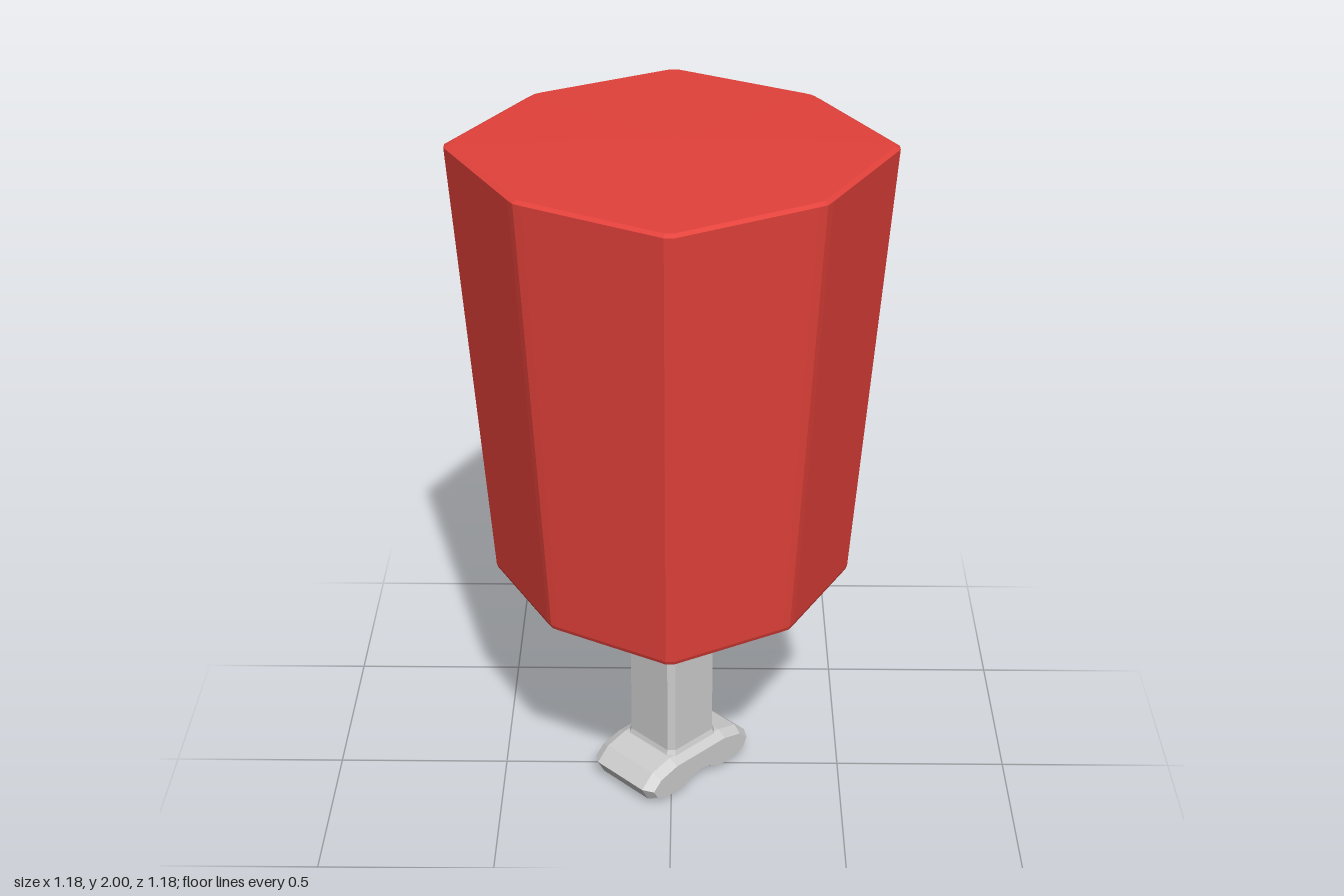
import * as THREE from 'three';

const red = new THREE.MeshStandardMaterial({ color: 0xe2413a, flatShading: true });
const grey = new THREE.MeshStandardMaterial({ color: 0xcccccc, flatShading: true });

// Repeats one quadrant of a unit cross-section around the y axis
function fourfold(quadrant) {
  const ring = [];
  for (let k = 0; k < 4; k++) {
    const c = Math.round(Math.cos(k * Math.PI / 2)), s = Math.round(Math.sin(k * Math.PI / 2));
    for (const [x, z] of quadrant) ring.push([x * c - z * s, x * s + z * c]);
  }
  return ring;
}

// Skins a cross-section through [y, radius, lift towards +x] levels, bottom to top, with closed ends
function loft(section, levels) {
  const pos = [], n = section.length;
  const at = ([y, r, lift = 0], i) => {
    const [x, z] = section[i % n];
    return [x * r, y + lift * Math.max(0, x), z * r];
  };
  const first = levels[0], last = levels[levels.length - 1];
  for (let i = 0; i < n; i++) {
    for (let j = 0; j < levels.length - 1; j++) {
      const a = at(levels[j], i), b = at(levels[j], i + 1);
      const c = at(levels[j + 1], i + 1), d = at(levels[j + 1], i);
      pos.push(...a, ...d, ...c, ...a, ...c, ...b);
    }
    pos.push(0, first[0], 0, ...at(first, i), ...at(first, i + 1));
    pos.push(0, last[0], 0, ...at(last, i + 1), ...at(last, i));
  }
  const g = new THREE.BufferGeometry();
  g.setAttribute('position', new THREE.Float32BufferAttribute(pos, 3));
  g.computeVertexNormals();
  return g;
}

function add(group, name, geometry, material) {
  const mesh = new THREE.Mesh(geometry, material);
  mesh.name = name;
  group.add(mesh);
  return mesh;
}

export function createModel() {
  const model = new THREE.Group();

  // Eight-sided body with narrow bevels along the corners
  const octagon = fourfold([[1, -0.022], [1, 0.022], [0.675, 0.615], [0.652, 0.652], [0.615, 0.675]]);
  add(model, 'body', loft(octagon, [
    [0.59, 0.125, 0.03], [0.693, 0.48], [0.7, 0.497], [0.712, 0.502],
    [1.965, 0.59], [1.979, 0.591], [1.986, 0.577], [2.0, 0.02],
  ]), red);

  // Square post with its corners on the axes
  const square = fourfold([[1, -0.1], [1, 0.1], [0.94, 0.16], [0.16, 0.94], [0.1, 1]].slice(0, 4));
  add(model, 'post', loft(square, [[0.1, 0.135], [0.135, 0.12], [0.64, 0.12]]), grey);

  // Collar that shows beneath the body on one side
  const collar = add(model, 'collar', loft(square, [[0.575, 0.119], [0.585, 0.122], [0.618, 0.14]]), grey);
  collar.position.x = 0.008;

  // Two-lobed foot, arched underneath, lying along one diagonal
  const half = [[0, 0.045], [0.035, 0.038], [0.08, 0.016], [0.14, 0.016], [0.18, 0.032], [0.195, 0.06], [0.165, 0.088], [0.1, 0.105]];
  const outline = [...half, ...half.slice(1).reverse().map(([x, y]) => [-x, y])];
  const shape = new THREE.Shape(outline.map(([x, y]) => new THREE.Vector2(x, y)));
  const footGeometry = new THREE.ExtrudeGeometry(shape, {
    depth: 0.19, bevelEnabled: true, bevelThickness: 0.03, bevelSize: 0.016, bevelSegments: 1,
  });
  footGeometry.translate(0, 0, -0.095);
  const foot = add(model, 'foot', footGeometry, grey);
  foot.rotation.y = Math.PI / 4;

  return model;
}
